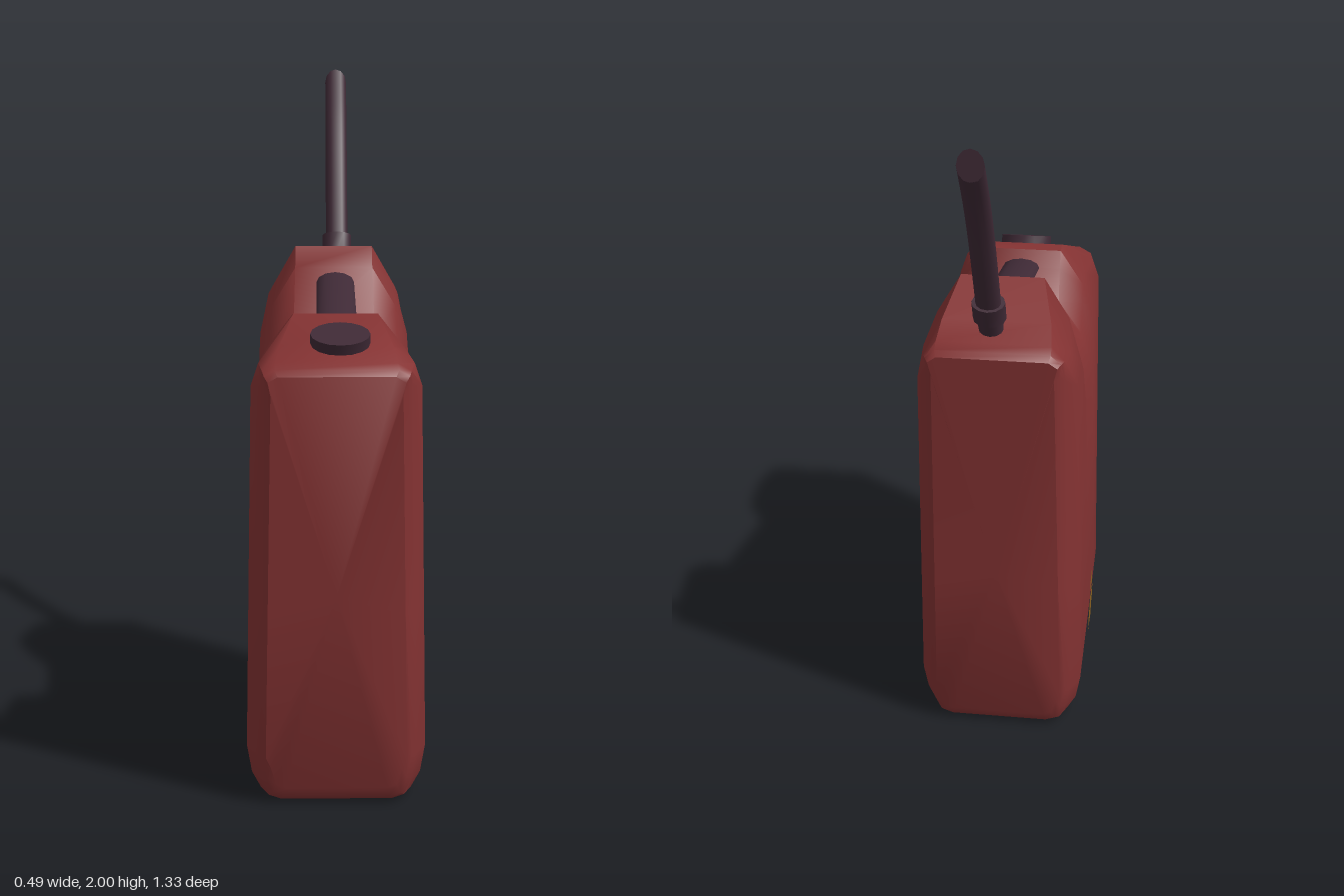
import * as THREE from 'three';
import { toCreasedNormals } from 'three/addons/utils/BufferGeometryUtils.js';

const mat = (name, color, side = THREE.FrontSide) => {
  const m = new THREE.MeshStandardMaterial({ color, side });
  m.name = name;
  return m;
};

// Slanted ends and gently tapering sides of the can
const backZ = y => -0.29 - 0.0865 * y;
const frontZ = y => 0.57 + 0.083 * y;
const sideX = y => 0.245 - 0.0217 * Math.max(0, y - 0.14);

// Stations from front to back: top z, top y, half width of top, shoulder y, side inset, bottom lift
const stations = [
  [0.668, 1.19, 0.15, 1.14, 0.055, 0.05],
  [0.655, 1.205, 0.158, 1.155, 0.042, 0.018],
  [0.63, 1.22, 0.155, 1.16, 0.028, 0.004],
  [0.56, 1.25, 0.15, 1.15, 0, 0],
  [0.41, 1.318, 0.115, 1.12, 0, 0],
  [0.365, 1.316, 0.115, 1.08, 0, 0],
  [0.335, 1.27, 0.115, 1.03, 0, 0],
  [0.285, 1.182, 0.118, 0.96, 0, 0],
  [0.24, 1.167, 0.12, 0.94, 0, 0],
  [0.05, 1.185, 0.12, 0.97, 0, 0],
  [0, 1.21, 0.12, 1.0, 0, 0],
  [-0.1, 1.4, 0.115, 1.15, 0, 0],
  [-0.16, 1.46, 0.115, 1.2, 0, 0],
  [-0.3, 1.388, 0.148, 1.2, 0, 0],
  [-0.365, 1.354, 0.155, 1.25, 0.028, 0.004],
  [-0.39, 1.34, 0.155, 1.27, 0.042, 0.018],
  [-0.403, 1.325, 0.15, 1.27, 0.055, 0.05],
];

function bodyGeometry() {
  const pos = [], index = [];
  let n = 0;
  for (const [zTop, yTop, topW, shoulder, inset, lift] of stations) {
    const u = (zTop - backZ(yTop)) / (frontZ(yTop) - backZ(yTop));
    const w = sideX(shoulder) - inset;
    // Half section from bottom to top
    const half = [
      [0.165 - inset * 0.5, lift],
      [0.207 - inset * 0.8, lift + 0.012],
      [0.232 - inset, lift + 0.06],
      [0.245 - inset, 0.14],
      [sideX(0.55) - inset, 0.55],
      [w, shoulder],
      [(w + topW) / 2 + 0.016, (shoulder + yTop) / 2 + 0.01],
      [topW, yTop],
    ];
    const ring = [...half, ...half.map(([x, y]) => [-x, y]).reverse()];
    n = ring.length;
    for (const [x, y] of ring) pos.push(x, y, THREE.MathUtils.lerp(backZ(y), frontZ(y), u));
  }
  const last = stations.length - 1;
  for (let i = 0; i < last; i++) {
    for (let j = 0; j < n; j++) {
      const k = (j + 1) % n;
      const a = i * n + j, b = i * n + k, c = a + n, d = b + n;
      index.push(a, c, b, b, c, d);
    }
  }
  // End faces
  const c0 = pos.length / 3;
  pos.push(0, 0.6, frontZ(0.6), 0, 0.6, backZ(0.6));
  for (let j = 0; j < n; j++) {
    const k = (j + 1) % n;
    index.push(c0, j, k, c0 + 1, last * n + k, last * n + j);
  }
  const g = new THREE.BufferGeometry();
  g.setAttribute('position', new THREE.Float32BufferAttribute(pos, 3));
  g.setIndex(index);
  return toCreasedNormals(g, 0.75);
}

// Straight elliptical rod between two (y, z) points
function rod(name, material, [y0, z0], [y1, z1], rx, rz, sides, x = 0) {
  const dir = new THREE.Vector3(0, y1 - y0, z1 - z0);
  const g = new THREE.CylinderGeometry(1, 1, dir.length(), sides);
  g.scale(rx, 1, rz);
  const mesh = new THREE.Mesh(toCreasedNormals(g, 0.9), material);
  mesh.name = name;
  mesh.quaternion.setFromUnitVectors(new THREE.Vector3(0, 1, 0), dir.normalize());
  mesh.position.set(x, (y0 + y1) / 2, (z0 + z1) / 2);
  return mesh;
}

export function createModel() {
  const group = new THREE.Group();
  group.name = 'fuelCan';
  const red = mat('red plastic', 0x853333);
  const dark = mat('dark plastic', 0x3f2a36);
  const ochre = mat('ochre label', 0x8a6020, THREE.DoubleSide);

  const body = new THREE.Mesh(bodyGeometry(), red);
  body.name = 'body';
  group.add(body);

  // Carrying handle across the notch, and filler cap on the front slope
  group.add(rod('handle', dark, [1.257, 0.39], [1.372, -0.14], 0.056, 0.025, 12, 0.004));
  group.add(rod('fillerCap', dark, [1.245, 0.534], [1.285, 0.55], 0.078, 0.062, 16, 0.01));

  // Spout: stem, collar and bent tube with an upright cut
  const spout = new THREE.Group();
  spout.name = 'spout';
  spout.position.x = 0.012;
  spout.add(rod('spoutStem', dark, [1.34, -0.302], [1.44, -0.35], 0.034, 0.028, 12));
  spout.add(rod('spoutCollar', dark, [1.422, -0.346], [1.478, -0.371], 0.045, 0.036, 12));
  const curve = new THREE.CatmullRomCurve3([
    [1.43, -0.35], [1.59, -0.43], [1.73, -0.505], [1.83, -0.568], [1.959, -0.664],
  ].map(([y, z]) => new THREE.Vector3(0, y, z)));
  const segments = 20, radial = 12, endZ = -0.664;
  const tubeGeo = new THREE.TubeGeometry(curve, segments, 0.025, radial);
  const p = tubeGeo.attributes.position, t = curve.getTangent(1);
  for (let i = segments * (radial + 1); i < p.count; i++) {
    p.setY(i, p.getY(i) + ((endZ - p.getZ(i)) / t.z) * t.y);
    p.setZ(i, endZ);
  }
  const tube = new THREE.Mesh(tubeGeo, dark);
  tube.name = 'spoutTube';
  tube.scale.x = 1.36;
  spout.add(tube);
  const tip = new THREE.Mesh(new THREE.CircleGeometry(1, radial), dark);
  tip.name = 'spoutTip';
  tip.scale.set(0.034, 0.025 / Math.abs(t.z), 1);
  tip.rotation.y = Math.PI;
  tip.position.set(0, 1.959, endZ);
  spout.add(tip);
  group.add(spout);

  // Small worn label low on one side
  const patch = new THREE.Shape([
    [-0.09, -0.06], [0.02, -0.075], [0.04, -0.04], [0.085, -0.03], [0.08, 0.005],
    [0.045, 0.02], [0.05, 0.075], [0.02, 0.1], [-0.025, 0.085], [-0.03, 0.02], [-0.08, -0.02],
  ].map(([x, y]) => new THREE.Vector2(x, y)));
  patch.holes.push(new THREE.Path().absellipse(0.01, 0.035, 0.018, 0.028, 0, Math.PI * 2, true));
  const label = new THREE.Mesh(new THREE.ShapeGeometry(patch, 8), ochre);
  label.name = 'label';
  label.rotation.y = -Math.PI / 2;
  label.position.set(-0.2475, 0.14, 0.2);
  group.add(label);

  return group;
}
